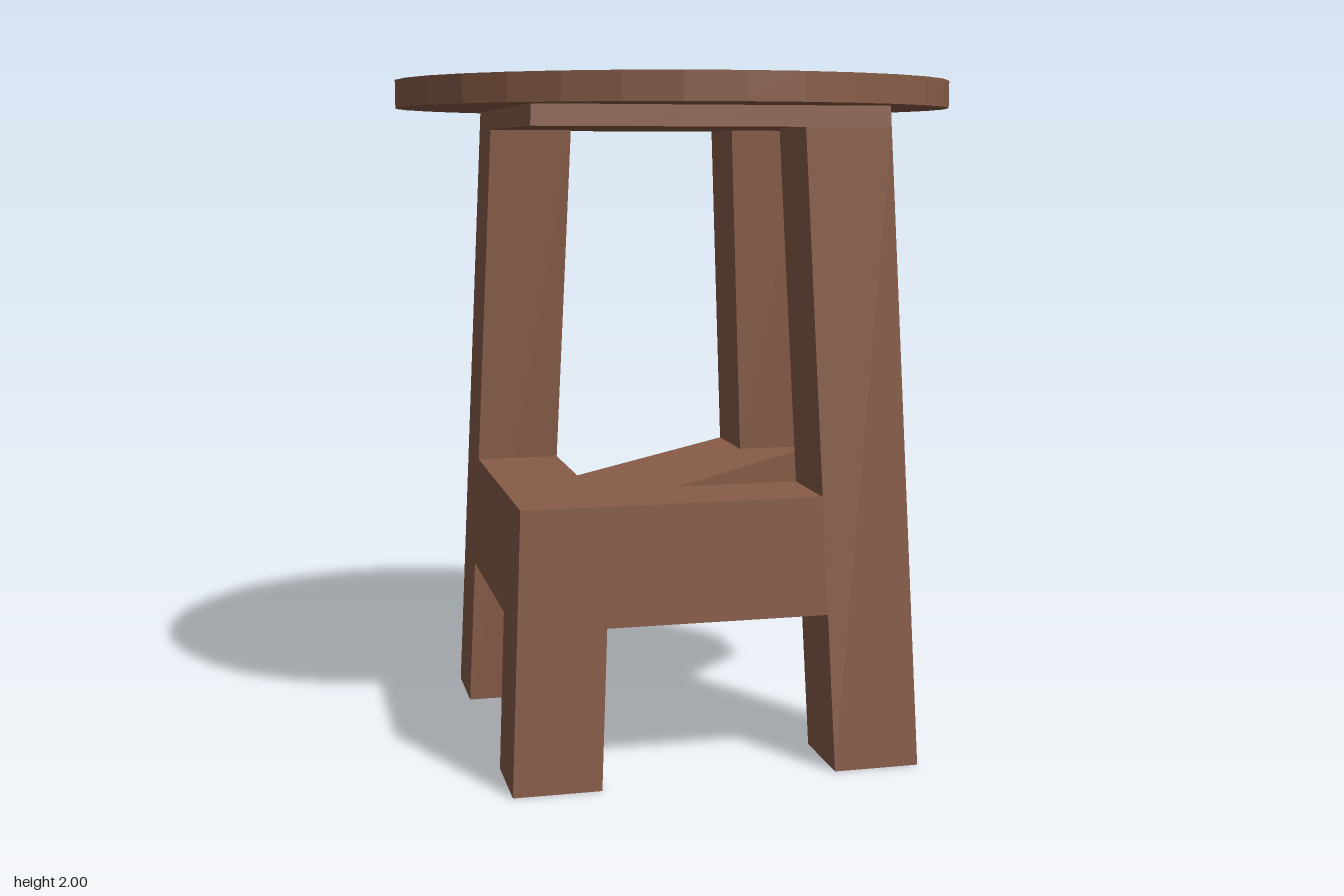
import * as THREE from 'three';

const WIDTH = 0.255;                       // leg thickness
const outer = (y) => 0.601 - 0.0443 * y;   // outer leg face, leaning inward with height

// Prism lofted between two heights; plan(o, i) lists [x, z] corners, counter-clockwise from above
function loft(plan, y0, y1) {
  const ring = (y) => plan(outer(y), outer(y) - WIDTH).map(([x, z]) => new THREE.Vector3(x, y, z));
  const low = ring(y0), high = ring(y1), n = low.length, pts = [];
  const contour = low.map((p) => new THREE.Vector2(p.x, -p.z));
  for (const [a, b, c] of THREE.ShapeUtils.triangulateShape(contour, [])) {
    pts.push(high[a], high[b], high[c], low[c], low[b], low[a]);
  }
  for (let k = 0; k < n; k++) {
    const m = (k + 1) % n;
    pts.push(low[k], low[m], high[m], low[k], high[m], high[k]);
  }
  const geo = new THREE.BufferGeometry().setFromPoints(pts);
  geo.computeVertexNormals();
  return geo;
}

// Square leg section in the corner given by the signs sx, sz
const legPlan = (sx, sz) => (o, i) => {
  const p = [[sx * i, sz * o], [sx * o, sz * o], [sx * o, sz * i], [sx * i, sz * i]];
  return sx * sz > 0 ? p : p.reverse();
};

// Front bar, side bar and diagonal bar meeting over the short leg
const bracePlan = (o, i) => [
  [-o, o], [i, o], [i, i], [WIDTH - i, i], [o, -i],
  [o, -o], [i, -o], [-i, i - WIDTH], [-i, -i], [-o, -i],
];

const slabPlan = (o) => [[-o, o], [o, o], [o, -o], [-o, -o]];

export function createModel() {
  const group = new THREE.Group();
  const wood = new THREE.MeshStandardMaterial({ color: 0x875c47 });
  wood.name = 'brown wood';
  wood.flatShading = true;

  const add = (name, geo) => {
    const mesh = new THREE.Mesh(geo, wood);
    mesh.name = name;
    group.add(mesh);
    return mesh;
  };

  // Round seat on a thin square slab
  add('seat', new THREE.CylinderGeometry(0.835, 0.835, 0.08, 32)).position.y = 1.96;
  add('seatSupport', loft(slabPlan, 1.86, 1.92));

  // Two full legs, one short leg under the brace and one hanging leg above it
  add('frontLeftLeg', loft(legPlan(1, 1), 0, 1.86));
  add('backRightLeg', loft(legPlan(-1, -1), 0, 1.86));
  add('shortLeg', loft(legPlan(-1, 1), 0, 0.465));
  add('hangingLeg', loft(legPlan(1, -1), 0.81, 1.86));

  // Three-armed brace joining all four legs
  add('brace', loft(bracePlan, 0.465, 0.81));
  return group;
}
